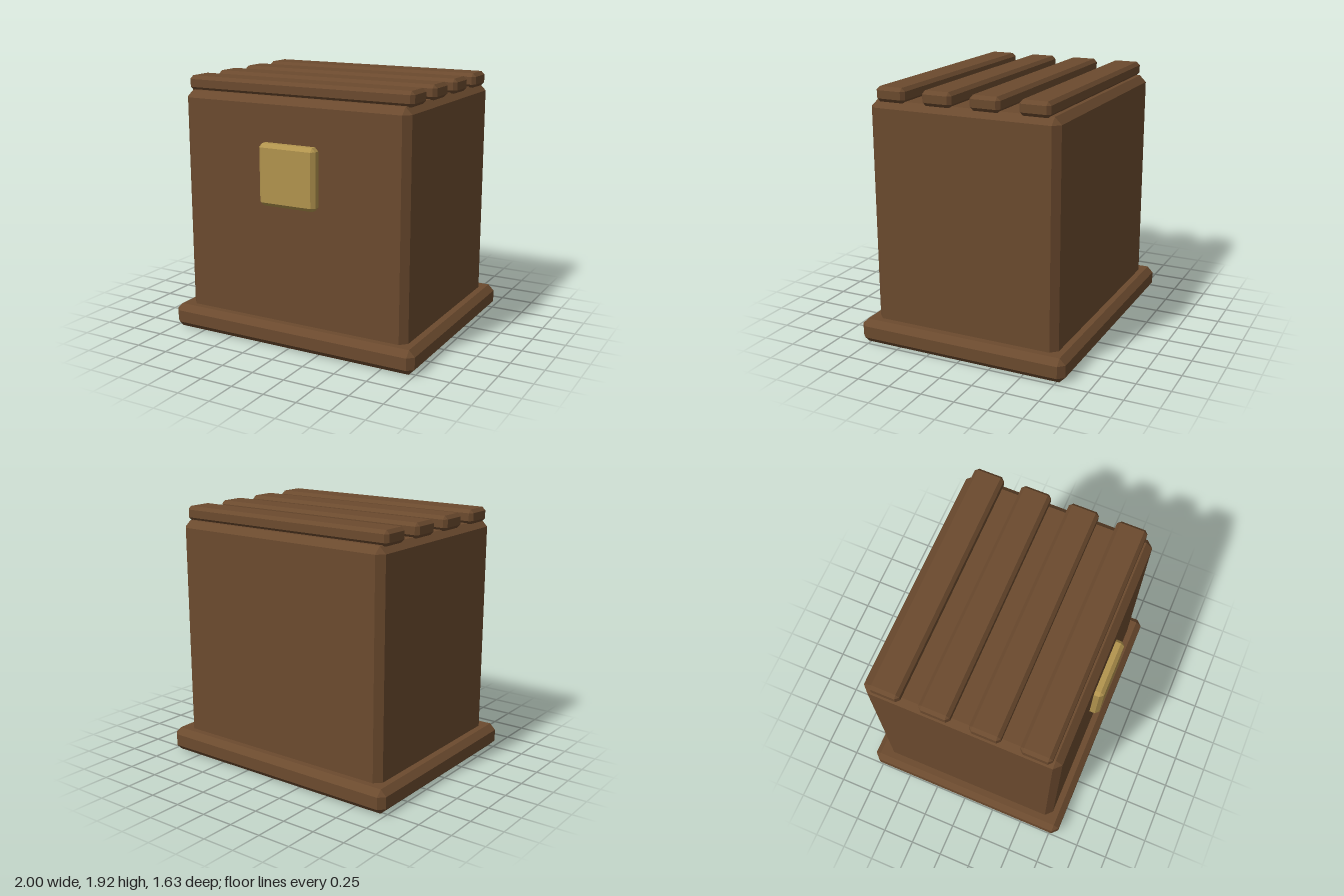
import * as THREE from 'three';
import { ConvexGeometry } from 'three/addons/geometries/ConvexGeometry.js';

// Box with every edge and corner cut at 45 degrees
function chamferBox(w, h, d, c) {
  const points = [];
  const [x, y, z] = [w / 2, h / 2, d / 2];
  for (const sx of [-1, 1]) for (const sy of [-1, 1]) for (const sz of [-1, 1]) {
    points.push(
      new THREE.Vector3(sx * x, sy * (y - c), sz * (z - c)),
      new THREE.Vector3(sx * (x - c), sy * y, sz * (z - c)),
      new THREE.Vector3(sx * (x - c), sy * (y - c), sz * z)
    );
  }
  return new ConvexGeometry(points);
}

export function createModel() {
  const group = new THREE.Group();
  group.name = 'slattedCrate';

  const wood = new THREE.MeshStandardMaterial({ color: 0x6b4a2e });
  wood.name = 'brown wood';
  const brass = new THREE.MeshStandardMaterial({ color: 0xb2944e });
  brass.name = 'brass';

  const add = (name, material, size, chamfer, position) => {
    const mesh = new THREE.Mesh(chamferBox(...size, chamfer), material);
    mesh.name = name;
    mesh.position.set(...position);
    group.add(mesh);
  };

  // Plinth and main box; the box is sunk a little into the plinth
  add('base', wood, [2, 0.18, 1.63], 0.045, [0, 0.09, 0]);
  add('body', wood, [1.81, 1.72, 1.445], 0.05, [0, 0.96, 0]);

  // Four slats across the top
  for (let i = 0; i < 4; i++) {
    add(`topSlat${i + 1}`, wood, [1.81, 0.108, 0.227], 0.025, [0, 1.867, (1.5 - i) * 0.364]);
  }

  // Plate on the front
  add('frontPlate', brass, [0.455, 0.45, 0.11], 0.027, [0, 1.275, 0.736]);

  return group;
}
